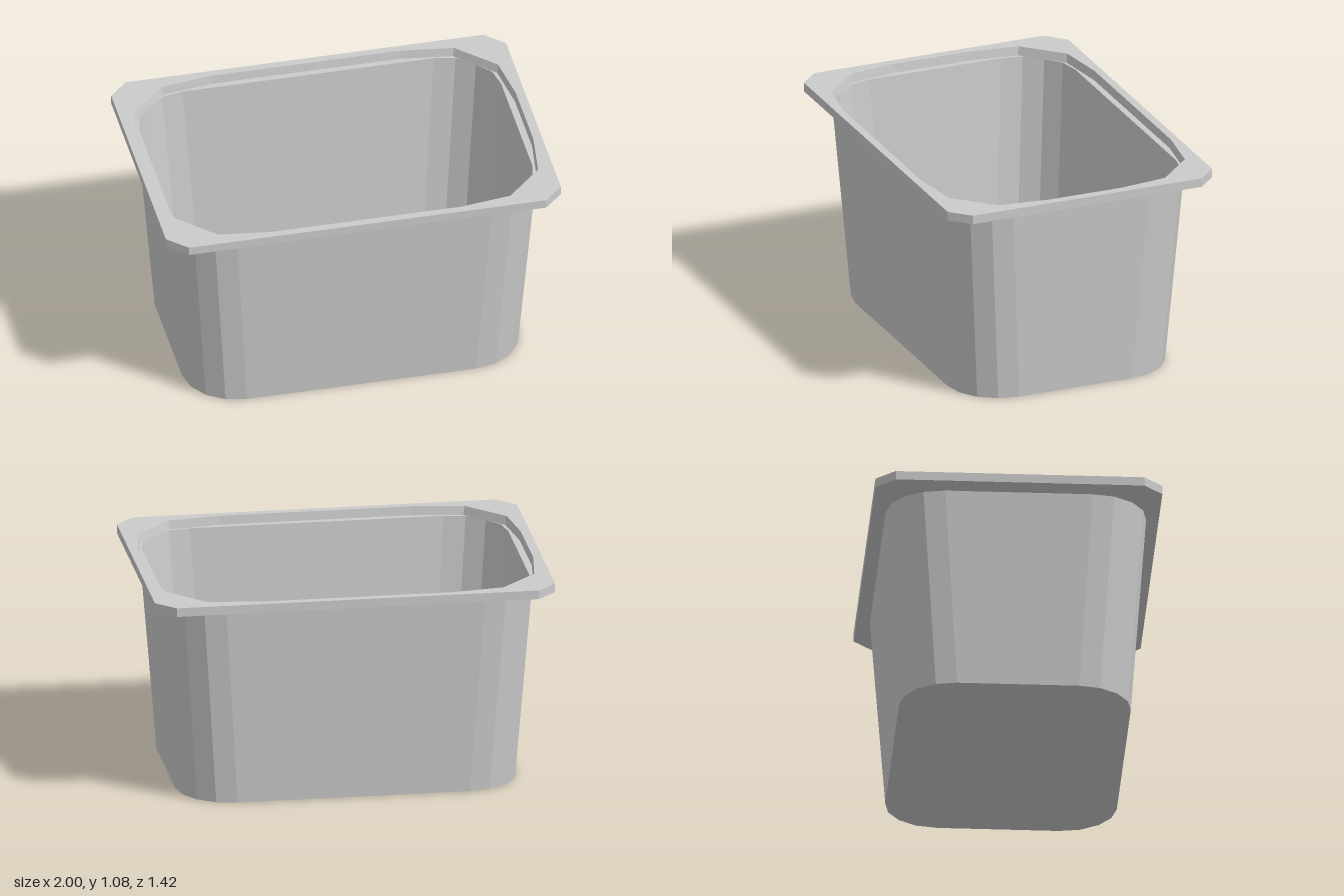
import * as THREE from 'three';

const material = new THREE.MeshStandardMaterial({ color: 0xcccccc, flatShading: true });

// Mirror one corner's five points (from the +x side to the +z side) into a closed ring
function ring(y, corner) {
  const back = [...corner].reverse();
  return [
    ...corner.map(([x, z]) => [x, y, z]),
    ...back.map(([x, z]) => [-x, y, z]),
    ...corner.map(([x, z]) => [-x, y, -z]),
    ...back.map(([x, z]) => [x, y, -z]),
  ];
}

// Rounded-rectangle ring with half sizes hx, hz and corner radius r
function rounded(y, hx, hz, r) {
  const corner = [0, 1, 2, 3, 4].map((i) => {
    const a = (i * Math.PI) / 8;
    return [hx - r + r * Math.cos(a), hz - r + r * Math.sin(a)];
  });
  return ring(y, corner);
}

// Rectangle ring with chamfered corners
function chamfered(y, hx, hz, c) {
  return ring(y, [0, 0.25, 0.5, 0.75, 1].map((t) => [hx - c * t, hz - c * (1 - t)]));
}

// Many-sided opening of the rim step, inset by d
function stepRing(y, d) {
  const pts = [[0.955, 0.2], [0.922, 0.45], [0.831, 0.542], [0.74, 0.634], [0.48, 0.67]];
  return ring(y, pts.map(([x, z]) => [x - d, z - d]));
}

const centre = (y) => ring(y, Array(5).fill([0, 0]));

// Skin successive rings
function loft(name, rings) {
  const pos = [];
  const tri = (a, b, c) => {
    const [va, vb, vc] = [a, b, c].map((p) => new THREE.Vector3(...p));
    if (new THREE.Triangle(va, vb, vc).getArea() > 1e-8) pos.push(...a, ...b, ...c);
  };
  for (let k = 0; k < rings.length - 1; k++) {
    const a = rings[k], b = rings[k + 1];
    for (let i = 0; i < a.length; i++) {
      const j = (i + 1) % a.length;
      tri(a[i], b[i], b[j]);
      tri(a[i], b[j], a[j]);
    }
  }
  const geometry = new THREE.BufferGeometry();
  geometry.setAttribute('position', new THREE.Float32BufferAttribute(pos, 3));
  geometry.computeVertexNormals();
  const mesh = new THREE.Mesh(geometry, material);
  mesh.name = name;
  return mesh;
}

export function createModel() {
  const group = new THREE.Group();
  group.name = 'container';

  const outerBottom = rounded(0, 0.85, 0.573, 0.27);
  const outerTop = rounded(1.01, 0.926, 0.645, 0.28);
  const rimLower = chamfered(1.03, 1, 0.71, 0.095);
  const rimUpper = chamfered(1.075, 1, 0.71, 0.095);
  const stepTop = stepRing(1.075, 0);
  const stepLow = stepRing(1.03, 0.006);
  const mouth = rounded(1.03, 0.915, 0.632, 0.28);
  const innerLow = rounded(0.045, 0.842, 0.568, 0.27);
  const floorEdge = rounded(0.012, 0.79, 0.515, 0.22);

  group.add(
    loft('underside', [centre(0), outerBottom]),
    loft('outerWall', [outerBottom, outerTop]),
    // Flared underside, edge, top face, step and ledge
    loft('rim', [outerTop, rimLower, rimUpper, stepTop, stepLow, mouth]),
    loft('innerWall', [mouth, innerLow, floorEdge]),
    loft('floor', [floorEdge, centre(0.012)]),
  );
  return group;
}
